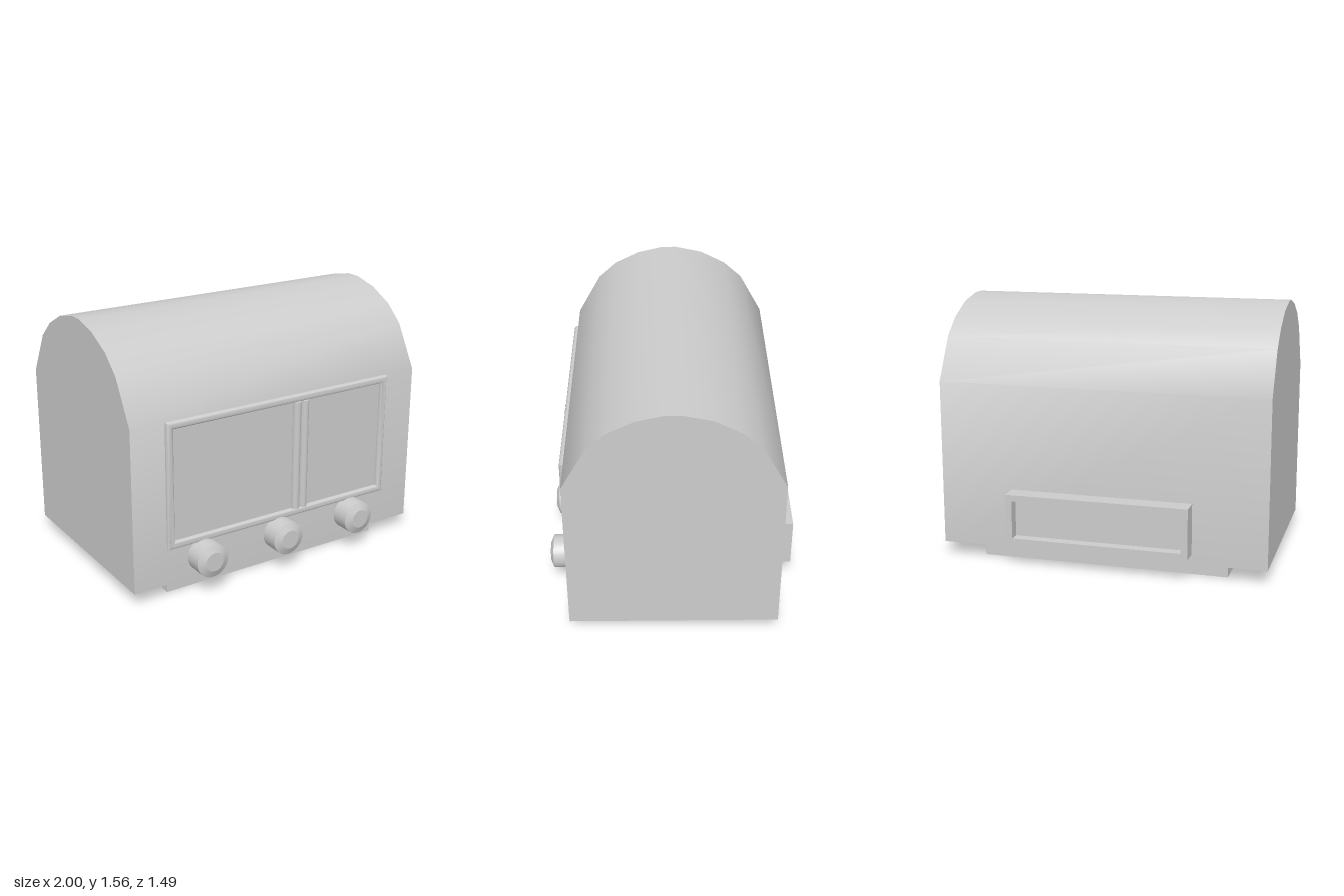
import * as THREE from 'three';
import { toCreasedNormals } from 'three/addons/utils/BufferGeometryUtils.js';

const material = new THREE.MeshStandardMaterial({ color: 0xcccccc });

// Rectangle outline, used for both shapes and holes
function rect(x0, y0, x1, y1) {
  return [[x0, y0], [x1, y0], [x1, y1], [x0, y1]].map(p => new THREE.Vector2(...p));
}

function rectFrame(outer, inner, options) {
  const shape = new THREE.Shape(rect(...outer));
  shape.holes.push(new THREE.Path(rect(...inner)));
  return new THREE.ExtrudeGeometry(shape, options);
}

export function createModel() {
  const model = new THREE.Group();

  function add(name, geometry, x = 0, y = 0, z = 0) {
    const mesh = new THREE.Mesh(geometry, material);
    mesh.name = name;
    mesh.position.set(x, y, z);
    model.add(mesh);
    return mesh;
  }

  // Cabinet: arched side profile (z, y) extruded across the width
  const profile = [
    [0.613, 0.08], [0.613, 1.08], [0.47, 1.34], [0.355, 1.445], [0.2, 1.522], [0.04, 1.56],
    [-0.05, 1.56], [-0.22, 1.523], [-0.375, 1.443], [-0.49, 1.34], [-0.632, 1.083], [-0.632, 0.08],
  ].map(([z, y]) => new THREE.Vector2(-z, y));
  const cabinet = new THREE.ExtrudeGeometry(new THREE.Shape(profile), { depth: 2, bevelEnabled: false });
  cabinet.translate(0, 0, -1).rotateY(Math.PI / 2);
  add('cabinet', toCreasedNormals(cabinet, 0.65));

  // Plinth under the cabinet
  add('base', new THREE.BoxGeometry(1.515, 0.085, 1.137), -0.003, 0.0425, -0.008);

  // Front panel and its rounded surround
  add('frontPanel', new THREE.BoxGeometry(1.5, 0.7, 0.01), -0.003, 0.692, 0.61);
  const surround = rectFrame([-0.767, 0.323, 0.762, 1.062], [-0.757, 0.333, 0.752, 1.052], {
    depth: 0.02, bevelThickness: 0.018, bevelSize: 0.018, bevelSegments: 5,
  });
  add('panelSurround', toCreasedNormals(surround, 0.7), 0, 0, 0.6);

  // Two half-round vertical divider bars
  for (const x of [0.107, 0.163]) {
    const bar = new THREE.CylinderGeometry(0.026, 0.026, 0.685, 16);
    add('dividerBar', bar, x, 0.692, 0.619);
  }

  // Control knobs with a chamfered face
  const knobProfile = [[0.103, 0], [0.103, 0.117], [0.058, 0.137], [0, 0.137]]
    .map(p => new THREE.Vector2(...p));
  const knob = toCreasedNormals(new THREE.LatheGeometry(knobProfile, 32).rotateX(Math.PI / 2), 0.4);
  for (const x of [-0.545, -0.012, 0.52]) add('knob', knob, x, 0.217, 0.61);

  // Recessed box on the back: open frame with an inset floor
  const backFrame = rectFrame([-0.555, 0.14, 0.552, 0.445], [-0.515, 0.178, 0.512, 0.407], {
    depth: 0.117, bevelEnabled: false,
  });
  add('backFrame', backFrame, 0, 0, -0.747);
  add('backFrameFloor', new THREE.BoxGeometry(1.03, 0.23, 0.06), -0.0015, 0.2925, -0.653);

  return model;
}
